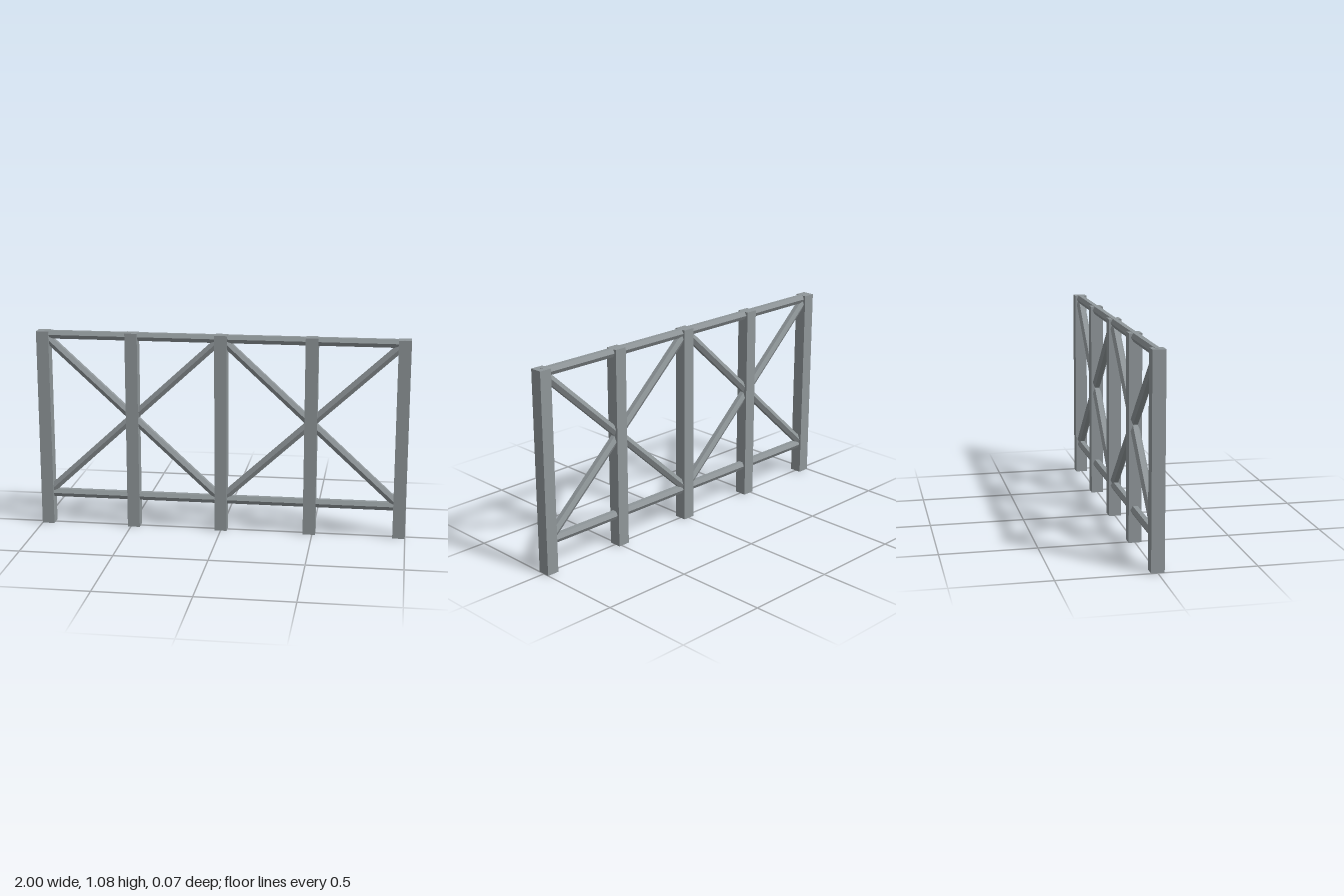
import * as THREE from 'three';

export function createModel() {
  const group = new THREE.Group();
  group.name = 'fencePanel';
  const material = new THREE.MeshStandardMaterial({ color: 0x8f9699, flatShading: true });

  const postWidth = 0.067, postHeight = 1.082;
  const barRadius = 0.025;
  const endX = 1 - postWidth / 2;
  const railTop = 1.062, railBottom = 0.173;

  // Hexagonal bar between two points in the panel's plane, with an edge facing front and back
  function addBar(name, x1, y1, x2, y2) {
    const length = Math.hypot(x2 - x1, y2 - y1);
    const bar = new THREE.Mesh(new THREE.CylinderGeometry(barRadius, barRadius, length, 6), material);
    bar.name = name;
    bar.position.set((x1 + x2) / 2, (y1 + y2) / 2, 0);
    bar.rotation.z = Math.atan2(y2 - y1, x2 - x1) - Math.PI / 2;
    group.add(bar);
  }

  // Five square posts
  const postGeometry = new THREE.BoxGeometry(postWidth, postHeight, postWidth);
  for (let i = -2; i <= 2; i++) {
    const post = new THREE.Mesh(postGeometry, material);
    post.name = `post${i + 3}`;
    post.position.set((i * endX) / 2, postHeight / 2, 0);
    group.add(post);
  }

  // Horizontal rails
  addBar('topRail', -endX, railTop, endX, railTop);
  addBar('bottomRail', -endX, railBottom, endX, railBottom);

  // Crossed braces in each half
  for (const [side, x1, x2] of [['right', -endX, 0], ['left', 0, endX]]) {
    addBar(`${side}FallingBrace`, x1, railTop, x2, railBottom);
    addBar(`${side}RisingBrace`, x1, railBottom, x2, railTop);
  }

  return group;
}
